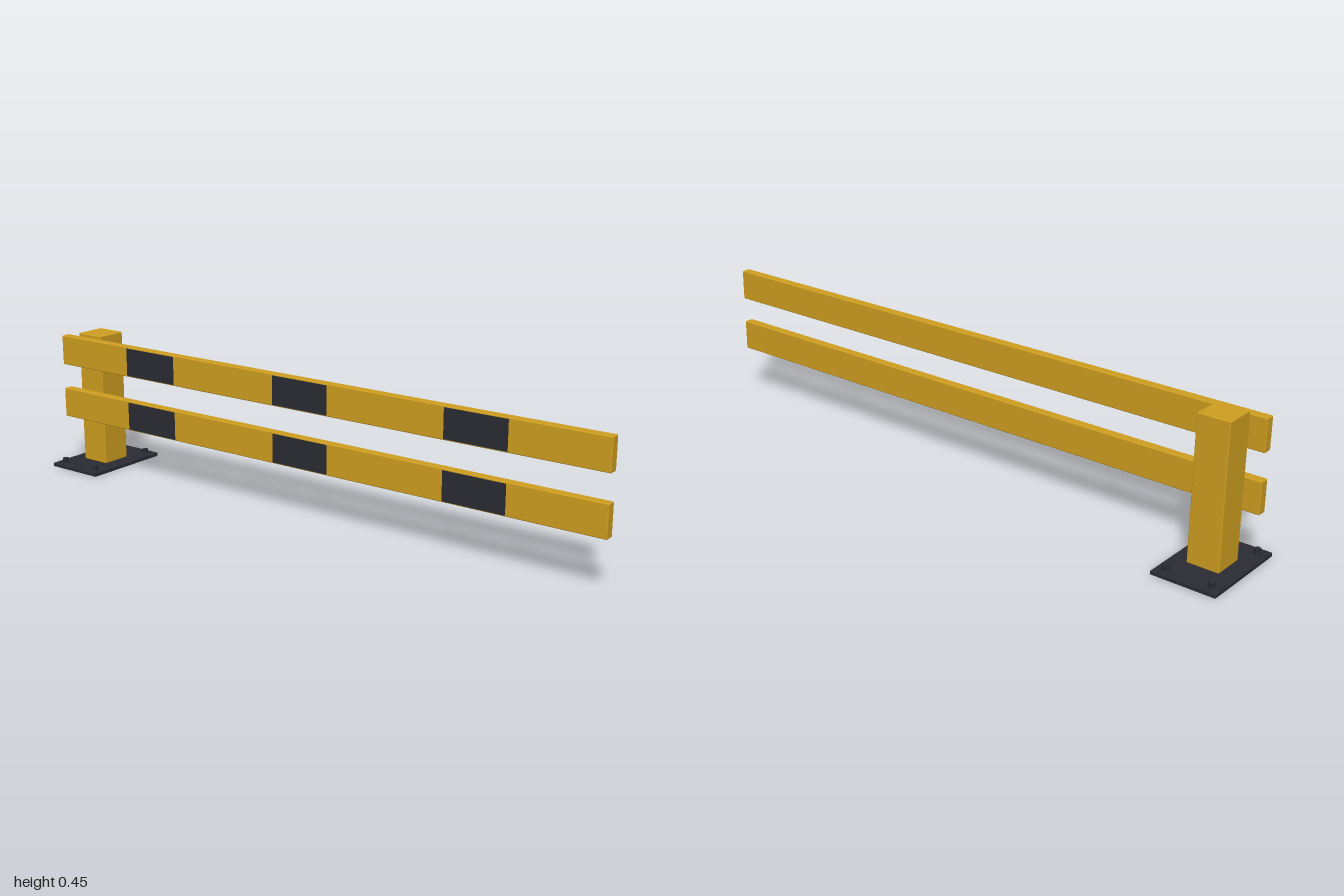
import * as THREE from 'three';
import { RoundedBoxGeometry } from 'three/addons/geometries/RoundedBoxGeometry.js';

export function createModel() {
  const group = new THREE.Group();
  const yellow = new THREE.MeshStandardMaterial({ color: 0xcf9f20 });
  yellow.name = 'safety yellow';
  const dark = new THREE.MeshStandardMaterial({ color: 0x2b2c34 });
  dark.name = 'charcoal';

  const add = (name, geometry, material, x, y, z) => {
    const mesh = new THREE.Mesh(geometry, material);
    mesh.name = name;
    mesh.position.set(x, y, z);
    group.add(mesh);
    return mesh;
  };

  // Post on its base plate
  const postX = -0.9;
  add('basePlate', new RoundedBoxGeometry(0.2, 0.012, 0.3, 2, 0.002), dark, postX, 0.006, 0);
  add('post', new RoundedBoxGeometry(0.1, 0.438, 0.1, 2, 0.003), yellow, postX, 0.231, 0);

  // Hexagonal anchor bolts at the plate corners
  const boltGeometry = new THREE.CylinderGeometry(0.01, 0.01, 0.018, 6).toNonIndexed();
  boltGeometry.computeVertexNormals();
  for (const sx of [-1, 1]) {
    for (const sz of [-1, 1]) {
      add('anchorBolt', boltGeometry, dark, postX + sx * 0.07, 0.019, sz * 0.12);
    }
  }

  // Two rails, each with three dark warning bands on its front
  const railGeometry = new RoundedBoxGeometry(2, 0.098, 0.03, 2, 0.003);
  const bandGeometry = new THREE.BoxGeometry(0.2, 0.09, 0.004);
  for (const [label, y] of [['lower', 0.211], ['upper', 0.391]]) {
    add(label + 'Rail', railGeometry, yellow, 0, y, 0.066);
    for (const x of [-0.6, 0, 0.6]) {
      add(label + 'WarningBand', bandGeometry, dark, x, y, 0.082);
    }
  }

  return group;
}
